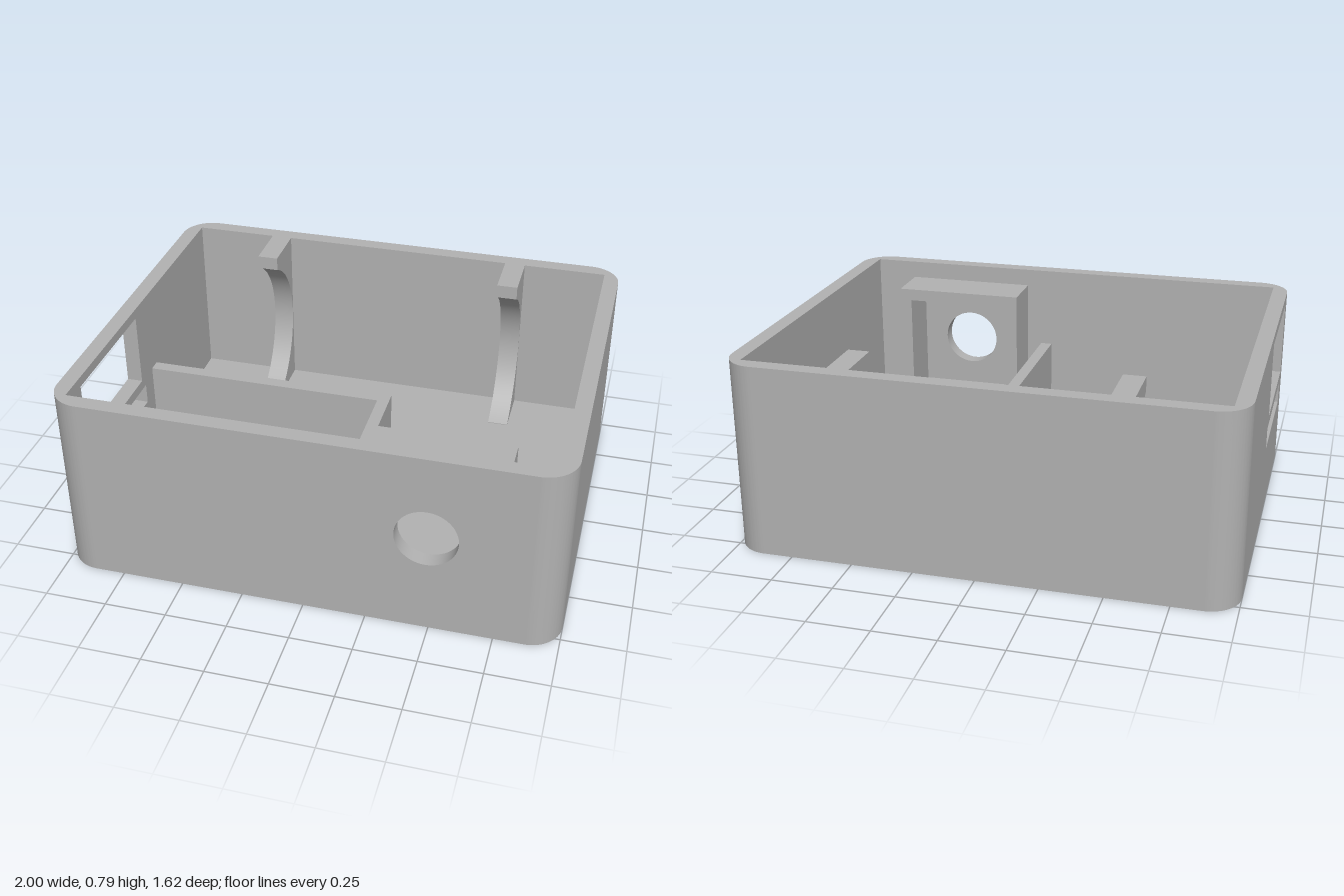
import * as THREE from 'three';
import { toCreasedNormals } from 'three/addons/utils/BufferGeometryUtils.js';

const W = 1, D = 0.81, H = 0.785;      // half width, half depth, height
const T = 0.065, R = 0.13;             // wall thickness, corner radius
const FLOOR = 0.07, DIVIDER = 0.43;    // floor and divider tops

// Closed shape from corner points
const poly = (pts) => new THREE.Shape(pts.map(([x, y]) => new THREE.Vector2(x, y)));
const rect = (x0, y0, x1, y1) => poly([[x0, y0], [x1, y0], [x1, y1], [x0, y1]]);
const circle = (x, y, r) => new THREE.Path().absarc(x, y, r, 0, Math.PI * 2, false);

function extrude(shape, depth) {
  const geo = new THREE.ExtrudeGeometry(shape, { depth, bevelEnabled: false, curveSegments: 24 });
  return toCreasedNormals(geo, 0.5);
}

export function createModel() {
  const model = new THREE.Group();
  model.name = 'enclosure';
  const plastic = new THREE.MeshStandardMaterial({ color: 0xb2b2b2 });
  plastic.name = 'grey plastic';
  const inward = new THREE.MeshStandardMaterial({ color: 0xb2b2b2, side: THREE.DoubleSide });
  inward.name = 'grey plastic';

  const add = (name, geo, x = 0, y = 0, z = 0, mat = plastic) => {
    const mesh = new THREE.Mesh(geo, mat);
    mesh.name = name;
    mesh.position.set(x, y, z);
    model.add(mesh);
    return mesh;
  };
  // Shape drawn in (z, y), extruded towards -x
  const side = (shape, depth) => extrude(shape, depth).rotateY(-Math.PI / 2);
  // Shape drawn in (x, -z), extruded upwards
  const upright = (shape, height) => extrude(shape, height).rotateX(-Math.PI / 2);

  // Front wall with round port, plain back wall
  const px = W - R, pz = D - R;
  const hole = { x: 0.48, y: 0.43, r: 0.123 };
  const front = rect(-px, 0, px, H);
  front.holes.push(circle(hole.x, hole.y, hole.r));
  add('frontWall', extrude(front, T), 0, 0, D - T);
  add('backWall', extrude(rect(-px, 0, px, H), T), 0, 0, -D);

  // Left wall, and right wall with window and slot
  add('leftWall', side(rect(-pz, 0, pz, H), T), W);
  const right = rect(-pz, 0, pz, H);
  right.holes.push(rect(0.07, 0.435, 0.62, 0.745), rect(0.035, 0.305, 0.585, 0.393));
  add('rightWall', side(right, T), -W + T);

  // Rounded outside, square inside corners
  const corner = new THREE.Shape();
  corner.moveTo(R, 0);
  corner.absarc(0, 0, R, 0, Math.PI / 2, false);
  corner.lineTo(0, R - T);
  corner.lineTo(R - T, R - T);
  corner.lineTo(R - T, 0);
  corner.closePath();
  [[1, -1], [-1, -1], [-1, 1], [1, 1]].forEach(([sx, sz], i) => {
    const post = add('cornerPost', upright(corner, H), sx * px, 0, sz * pz);
    post.rotation.y = i * Math.PI / 2;
  });

  // Floor with a hole countersunk from below
  const screw = { x: -0.7, z: 0.31, top: 0.109, bottom: 0.178 };
  const floorFace = (r) => {
    const s = rect(-W + T, -D + T, W - T, D - T);
    s.holes.push(circle(screw.x, -screw.z, r));
    return new THREE.ShapeGeometry(s, 24).rotateX(-Math.PI / 2);
  };
  add('floorTop', floorFace(screw.top), 0, FLOOR, 0, inward);
  add('floorUnderside', floorFace(screw.bottom), 0, 0, 0, inward);
  add('countersink',
    new THREE.CylinderGeometry(screw.top, screw.bottom, FLOOR, 48, 1, true),
    screw.x, FLOOR / 2, screw.z, inward);

  // L-shaped divider around the right front compartment
  const divider = poly([
    [-W + T, 0.045], [0.085, 0.045], [0.085, -D + T],
    [0.135, -D + T], [0.135, 0.098], [-W + T, 0.098],
  ]);
  add('divider', upright(divider, DIVIDER - FLOOR), 0, FLOOR, 0);

  // Square frame behind the round port
  const o = 0.28, n = 0.228;
  const frame = rect(hole.x - o, hole.y - o, hole.x + o, hole.y + o);
  frame.holes.push(rect(hole.x - n, hole.y - n, hole.x + n, hole.y + n));
  add('portFrame', extrude(frame, 0.205), 0, 0, D - T - 0.205);

  // Two cradle brackets with a hollow round front on the back wall
  const back = -D + T, tip = -0.53, cz = -0.38, cy = 0.4, cr = 0.36;
  const a = Math.acos((tip - cz) / cr);
  const bracket = new THREE.Shape();
  bracket.moveTo(back, H);
  bracket.lineTo(tip, H);
  bracket.absarc(cz, cy, cr, a, Math.PI * 2 - a, false);
  bracket.lineTo(tip, FLOOR);
  bracket.lineTo(back, FLOOR);
  bracket.closePath();
  for (const x of [-0.5, 0.584]) add('cradleBracket', side(bracket, 0.088), x);

  return model;
}
